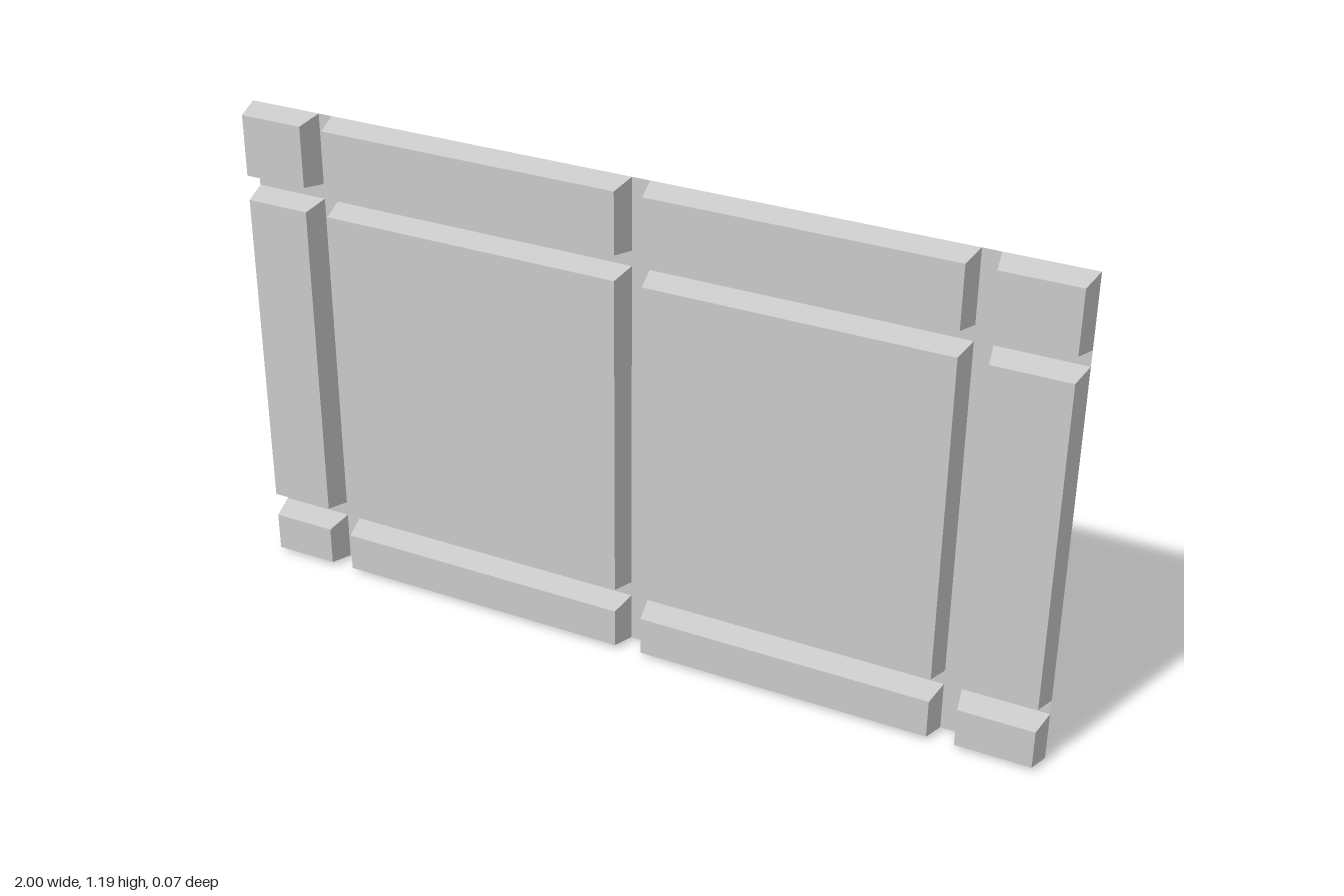
import * as THREE from 'three';

const HEIGHT = 1.19, DEPTH = 0.031, INSET = 0.012;
// base extents of the raised panels, by column (x) and row (y)
const COLUMNS = [[-1, -0.82], [-0.785, -0.025], [0.018, 0.755], [0.797, 1]];
const ROWS = [[0, 0.12], [0.157, 0.98], [1.017, HEIGHT]];

// the whole sheet leans back very slightly
const lean = y => 0.003 - 0.006 * y / HEIGHT;

// flat-shaded geometry from quads with corners counter-clockwise
function quadGeometry(quads) {
  const positions = [];
  for (const q of quads)
    for (const i of [0, 1, 2, 0, 2, 3]) {
      const [x, y, z] = q[i];
      positions.push(x, y, z + lean(y));
    }
  const geometry = new THREE.BufferGeometry();
  geometry.setAttribute('position', new THREE.Float32BufferAttribute(positions, 3));
  geometry.computeVertexNormals();
  return geometry;
}

const rectangle = ([x0, x1], [y0, y1], z) =>
  [[x0, y0, z], [x1, y0, z], [x1, y1, z], [x0, y1, z]];

// raised face with four sloping sides, open at the back
function panelGeometry(xs, ys) {
  const base = rectangle(xs, ys, -DEPTH);
  const face = rectangle([xs[0] + INSET, xs[1] - INSET], [ys[0] + INSET, ys[1] - INSET], DEPTH);
  const sides = base.map((corner, i) => {
    const j = (i + 1) % 4;
    return [corner, base[j], face[j], face[i]];
  });
  return quadGeometry([face, ...sides]);
}

// spaces between neighbouring spans
const gaps = spans => spans.slice(1).map((span, i) => [spans[i][1], span[0]]);

export function createModel() {
  const model = new THREE.Group();
  model.name = 'panelledSheet';
  const material = new THREE.MeshStandardMaterial({
    color: 0xcccccc, flatShading: true, side: THREE.DoubleSide
  });
  const add = (name, geometry) => {
    const mesh = new THREE.Mesh(geometry, material);
    mesh.name = name;
    model.add(mesh);
  };

  // raised panels
  ROWS.forEach((ys, r) => COLUMNS.forEach((xs, c) =>
    add(`raisedPanelRow${r + 1}Column${c + 1}`, panelGeometry(xs, ys))));

  // flat grooves between the panels
  const vertical = gaps(COLUMNS).map(xs => rectangle(xs, [0, HEIGHT], -DEPTH));
  const horizontal = gaps(ROWS).flatMap(ys => COLUMNS.map(xs => rectangle(xs, ys, -DEPTH)));
  add('verticalGrooves', quadGeometry(vertical));
  add('horizontalGrooves', quadGeometry(horizontal));

  return model;
}
